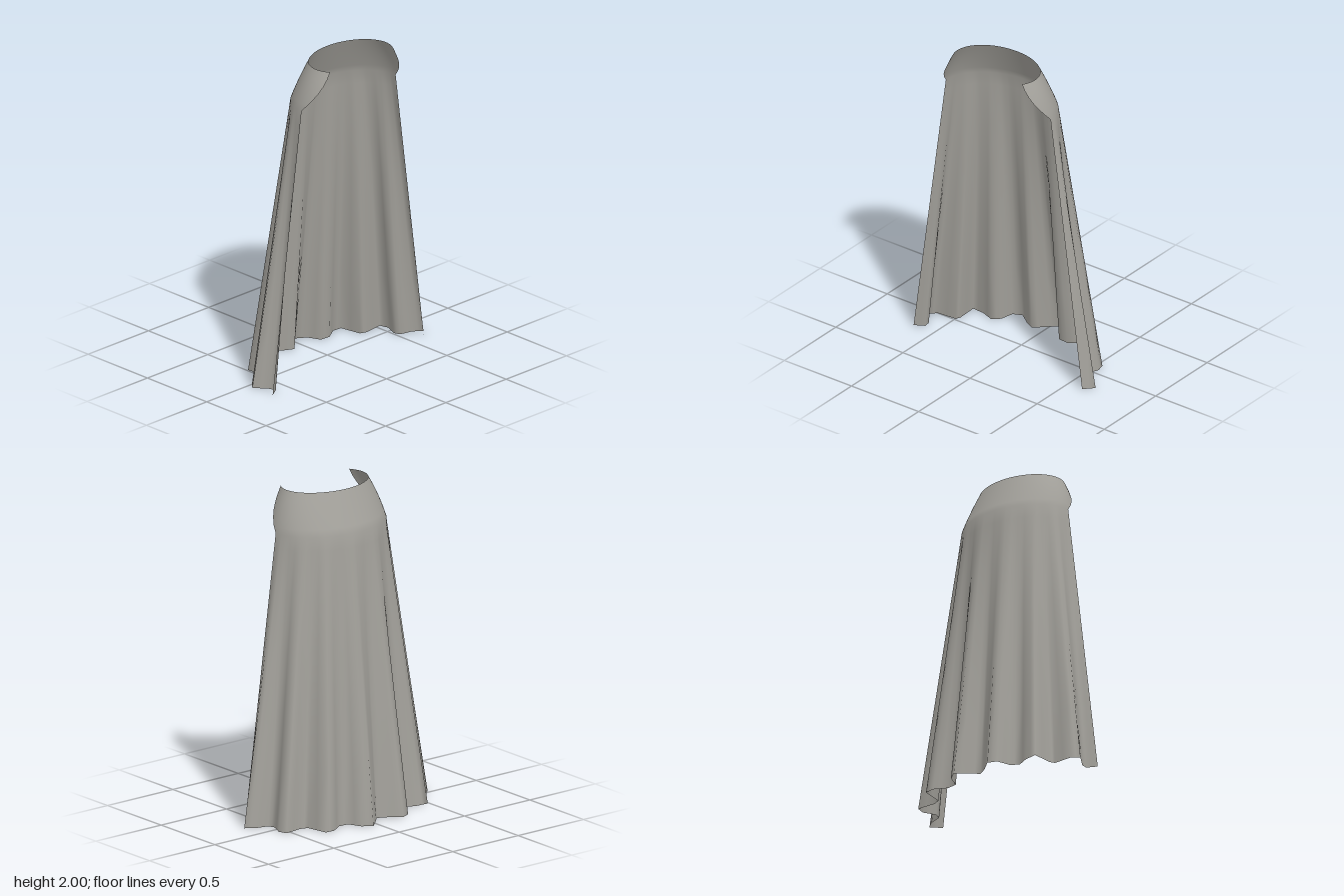
import * as THREE from 'three';

// Pleated hem outline (x, z), running from the right edge round the back to the left edge
const HEM = [
  [-0.65, 0.2], [-0.59, 0.165], [-0.595, 0.125], [-0.66, 0.04], [-0.625, 0], [-0.5, -0.01],
  [-0.485, -0.04], [-0.49, -0.17], [-0.41, -0.165], [-0.33, -0.135], [-0.285, -0.175],
  [-0.265, -0.26], [-0.21, -0.285], [-0.135, -0.23], [-0.075, -0.2], [-0.025, -0.25],
  [0.04, -0.31], [0.1, -0.27], [0.135, -0.19], [0.2, -0.185], [0.28, -0.235], [0.34, -0.23],
  [0.365, -0.095], [0.41, -0.08], [0.53, -0.095], [0.545, -0.04], [0.51, 0.04],
  [0.525, 0.08], [0.605, 0.1], [0.66, 0.14], [0.605, 0.2],
];
const WAIST_Y = 1.755;
const SPLIT = 2; // columns per hem segment
const COLUMNS = (HEM.length - 1) * SPLIT;

// Point on the hem at u = 0..1
function hemPoint(u) {
  const f = u * (HEM.length - 1);
  const i = Math.min(Math.floor(f), HEM.length - 2);
  const t = f - i;
  return [0, 1].map((k) => THREE.MathUtils.lerp(HEM[i][k], HEM[i + 1][k], t));
}

// Point on the shoulder yoke: an elliptical arc that narrows and wraps forward as v goes 0..1
function yokePoint(u, v) {
  const wrap = 0.45 * Math.sin(v * Math.PI / 2);
  const a = -wrap + u * (Math.PI + 2 * wrap);
  const rx = 0.39 - 0.1 * v + 0.04 * v * (1 - v);
  const rz = 0.29 - 0.085 * v;
  return [-0.02 - rx * Math.cos(a), 0.2 + 0.02 * v - rz * Math.sin(a)];
}

function capeGeometry() {
  // Cross-section heights: pleated drape, then yoke
  const heights = [0, 0.35, 0.7, 1.05, 1.4, 1.67, WAIST_Y];
  for (let k = 1; k <= 6; k++) heights.push(WAIST_Y + (2 - WAIST_Y) * k / 6);

  const positions = [];
  const index = [];
  const row = COLUMNS + 1;
  heights.forEach((y, j) => {
    for (let i = 0; i <= COLUMNS; i++) {
      const u = i / COLUMNS;
      let [x, z] = yokePoint(u, Math.max(0, (y - WAIST_Y) / (2 - WAIST_Y)));
      if (y < WAIST_Y) {
        // Pleats fade out in a straight line towards the waist
        const [hx, hz] = hemPoint(u);
        x = THREE.MathUtils.lerp(hx, x, y / WAIST_Y);
        z = THREE.MathUtils.lerp(hz, z, y / WAIST_Y);
      }
      positions.push(x, y, z);
      if (j < heights.length - 1 && i < COLUMNS) {
        const a = j * row + i;
        index.push(a, a + row, a + 1, a + 1, a + row, a + row + 1);
      }
    }
  });

  const geometry = new THREE.BufferGeometry();
  geometry.setAttribute('position', new THREE.Float32BufferAttribute(positions, 3));
  geometry.setIndex(index);
  geometry.computeVertexNormals();
  return geometry;
}

export function createModel() {
  const group = new THREE.Group();
  group.name = 'cape';
  const cloth = new THREE.MeshStandardMaterial({ color: 0xa3a19b, side: THREE.DoubleSide });
  cloth.name = 'grey cloth';

  // Yoke and drape are one continuous sheet of cloth
  const drape = new THREE.Mesh(capeGeometry(), cloth);
  drape.name = 'capeCloth';
  group.add(drape);
  return group;
}
